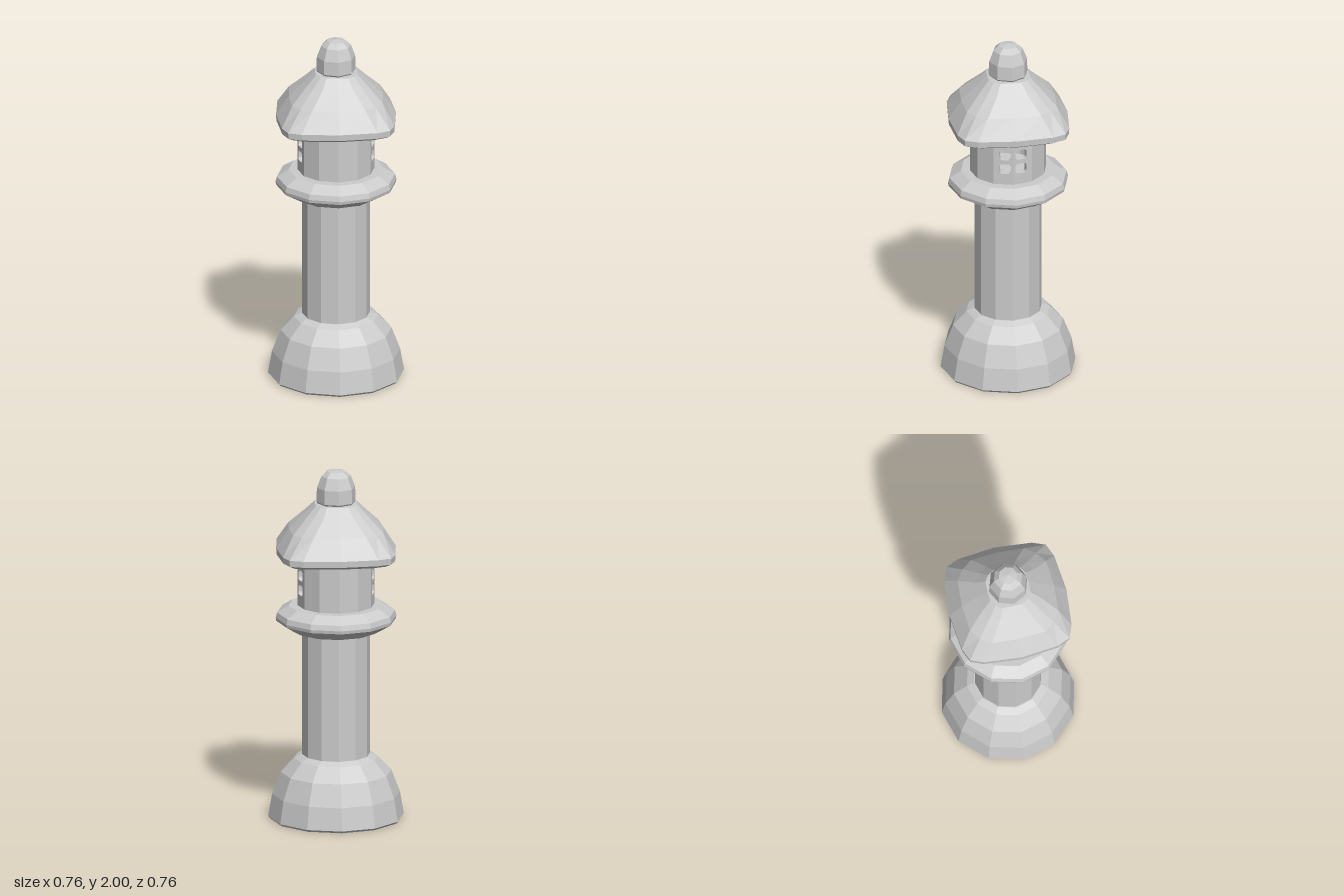
import * as THREE from 'three';

const stone = new THREE.MeshStandardMaterial({ color: 0xcccccc, flatShading: true });

function addMesh(parent, name, geometry) {
  const mesh = new THREE.Mesh(geometry, stone);
  mesh.name = name;
  parent.add(mesh);
  return mesh;
}

// Faceted turned part from [radius, height] pairs, bottom to top
function turned(profile, sides) {
  return new THREE.LatheGeometry(profile.map(([r, y]) => new THREE.Vector2(r, y)), sides);
}

// Rounded-square roof: 16-point rings [radius, height, shoulder x, shoulder z, corner]
function roofGeometry(rings) {
  const pos = [], index = [], n = 16;
  for (const [r, y, sx, sz, c] of rings) {
    for (let q = 0; q < 4; q++) {
      const cos = Math.round(Math.cos(q * Math.PI / 2)), sin = Math.round(Math.sin(q * Math.PI / 2));
      for (const [x, z] of [[1, 0], [sx, sz], [c, c], [sz, sx]]) {
        pos.push(r * (x * cos - z * sin), y, r * (x * sin + z * cos));
      }
    }
  }
  for (let j = 0; j < rings.length - 1; j++) {
    for (let i = 0; i < n; i++) {
      const a = j * n + i, b = j * n + (i + 1) % n;
      index.push(a, a + n, b, b, a + n, b + n);
    }
  }
  const g = new THREE.BufferGeometry();
  g.setAttribute('position', new THREE.Float32BufferAttribute(pos, 3));
  g.setIndex(index);
  g.computeVertexNormals();
  return g;
}

function roundedHole(cx, cy, w, h, r) {
  const p = new THREE.Path(), x = w / 2, y = h / 2;
  p.moveTo(cx - x + r, cy - y);
  p.lineTo(cx + x - r, cy - y);
  p.quadraticCurveTo(cx + x, cy - y, cx + x, cy - y + r);
  p.lineTo(cx + x, cy + y - r);
  p.quadraticCurveTo(cx + x, cy + y, cx + x - r, cy + y);
  p.lineTo(cx - x + r, cy + y);
  p.quadraticCurveTo(cx - x, cy + y, cx - x, cy + y - r);
  p.lineTo(cx - x, cy - y + r);
  p.quadraticCurveTo(cx - x, cy - y, cx - x + r, cy - y);
  return p;
}

// One wall slab of the lamp house; shift is the sideways offset of its windows
function wallPanel(radius, y0, y1, shift) {
  const half = radius * Math.sin(Math.PI / 12), depth = 0.03;
  const shape = new THREE.Shape();
  shape.moveTo(-half, y0);
  shape.lineTo(half, y0);
  shape.lineTo(half, y1);
  shape.lineTo(-half, y1);
  shape.closePath();
  if (shift) for (const y of [1.32, 1.405]) shape.holes.push(roundedHole(shift, y, 0.066, 0.06, 0.018));
  const g = new THREE.ExtrudeGeometry(shape, { depth, bevelEnabled: false, curveSegments: 3 });
  return g.translate(0, 0, radius * Math.cos(Math.PI / 12) - depth);
}

export function createModel() {
  const model = new THREE.Group();
  model.name = 'stoneLantern';

  // Domed foot, shaft and platform, all twelve-sided
  addMesh(model, 'base', turned([[0, 0], [0.37, 0], [0.38, 0.012], [0.358, 0.14], [0.31, 0.265],
    [0.235, 0.345], [0.195, 0.365], [0, 0.365]], 12));
  addMesh(model, 'column', turned([[0, 0.35], [0.19, 0.35], [0.19, 1.09], [0, 1.09]], 12));
  addMesh(model, 'platform', turned([[0, 1.08], [0.24, 1.08], [0.335, 1.137], [0.338, 1.155],
    [0.33, 1.185], [0.265, 1.225], [0, 1.225]], 12));

  // Hollow lamp house with window pairs facing both sides
  const house = new THREE.Group();
  house.name = 'lampHouse';
  model.add(house);
  const windowShift = { 2: 0.01, 3: -0.01, 8: 0.01, 9: -0.01 };
  for (let k = 0; k < 12; k++) {
    const shift = windowShift[k] || 0;
    const panel = addMesh(house, shift ? 'windowWall' : 'wall', wallPanel(0.215, 1.215, 1.51, shift));
    panel.rotation.y = (k + 0.5) * Math.PI / 6;
  }

  // Roof with square eaves that round off towards the top
  addMesh(model, 'roof', roofGeometry([
    [0, 1.5, 0.94, 0.63, 0.85],
    [0.305, 1.503, 0.94, 0.63, 0.85],
    [0.333, 1.52, 0.94, 0.63, 0.85],
    [0.335, 1.555, 0.94, 0.63, 0.85],
    [0.264, 1.665, 0.96, 0.57, 0.8],
    [0.17, 1.758, 0.97, 0.5, 0.79],
    [0.118, 1.81, 0.98, 0.5, 0.79],
    [0, 1.815, 0.98, 0.5, 0.79],
  ]));

  // Eight-sided bud on top
  const finial = addMesh(model, 'finial', turned([[0, 1.8], [0.1, 1.805], [0.111, 1.82], [0.108, 1.9],
    [0.083, 1.965], [0.053, 1.992], [0, 2]], 8));
  finial.rotation.y = 0.07;

  return model;
}
